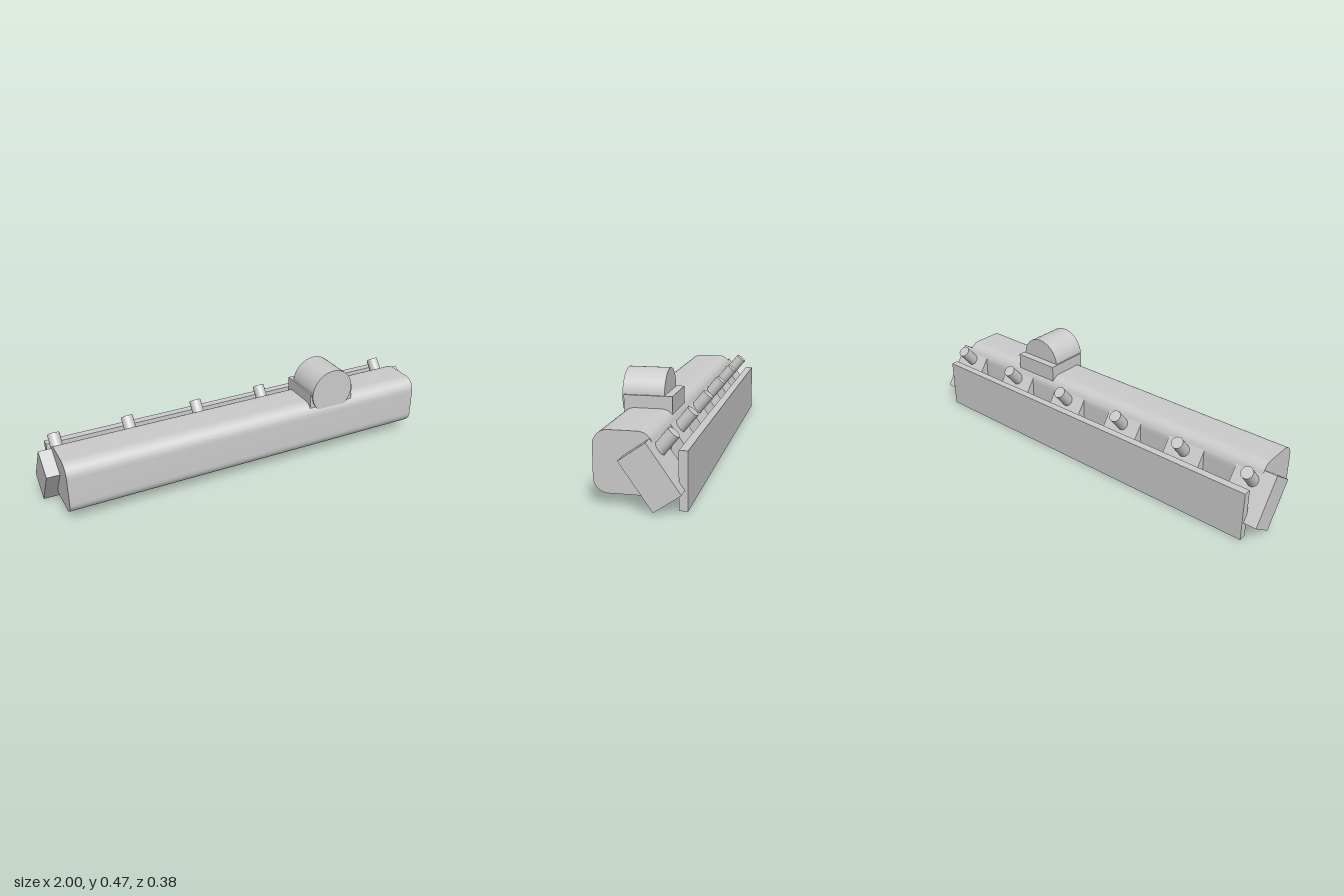
import * as THREE from 'three';
import { toCreasedNormals } from 'three/addons/utils/BufferGeometryUtils.js';

const LENGTH = 1.876;

export function createModel() {
  const model = new THREE.Group();
  const material = new THREE.MeshStandardMaterial({ color: 0xcccccc });

  function add(name, geometry, x, y, z, tilt = 0) {
    const mesh = new THREE.Mesh(geometry, material);
    mesh.name = name;
    mesh.position.set(x, y, z);
    mesh.rotation.x = tilt;
    model.add(mesh);
    return mesh;
  }

  // Long body: rounded rectangle section swept along x
  const w = 0.124, h = 0.13, r = 0.064;
  const section = new THREE.Shape();
  section.absarc(w - r, h - r, r, 0, Math.PI / 2);
  section.absarc(-w + r, h - r, r, Math.PI / 2, Math.PI);
  section.absarc(-w + r, -h + r, r, Math.PI, Math.PI * 1.5);
  section.absarc(w - r, -h + r, r, Math.PI * 1.5, Math.PI * 2);
  const body = new THREE.ExtrudeGeometry(section, { depth: LENGTH, bevelEnabled: false, curveSegments: 12 });
  body.translate(0, 0, -LENGTH / 2).rotateY(Math.PI / 2);
  add('body', toCreasedNormals(body, 0.6), 0, 0.182, 0.069);

  // Back plate
  add('backPlate', new THREE.BoxGeometry(LENGTH, 0.245, 0.037), 0, 0.1225, -0.1735);

  // Six tilted blocks, each with a slanted pin
  const block = new THREE.BoxGeometry(0.195, 0.244, 0.137);
  const pin = new THREE.CylinderGeometry(0.029, 0.029, 0.16, 32);
  for (let i = 0; i < 6; i++) {
    const x = (i - 2.5) * 0.361;
    add('tiltedBlock' + (i + 1), block, x, 0.146, -0.0535, 0.61);
    add('pin' + (i + 1), pin, x, 0.245, -0.079, -0.69);
  }

  // Drum seated in a box on top of the body
  add('drumBase', new THREE.BoxGeometry(0.242, 0.128, 0.218), 0.431, 0.304, 0.069);
  add('drum', new THREE.CylinderGeometry(0.113, 0.113, 0.189, 64), 0.431, 0.36, 0.0915, Math.PI / 2);

  return model;
}
